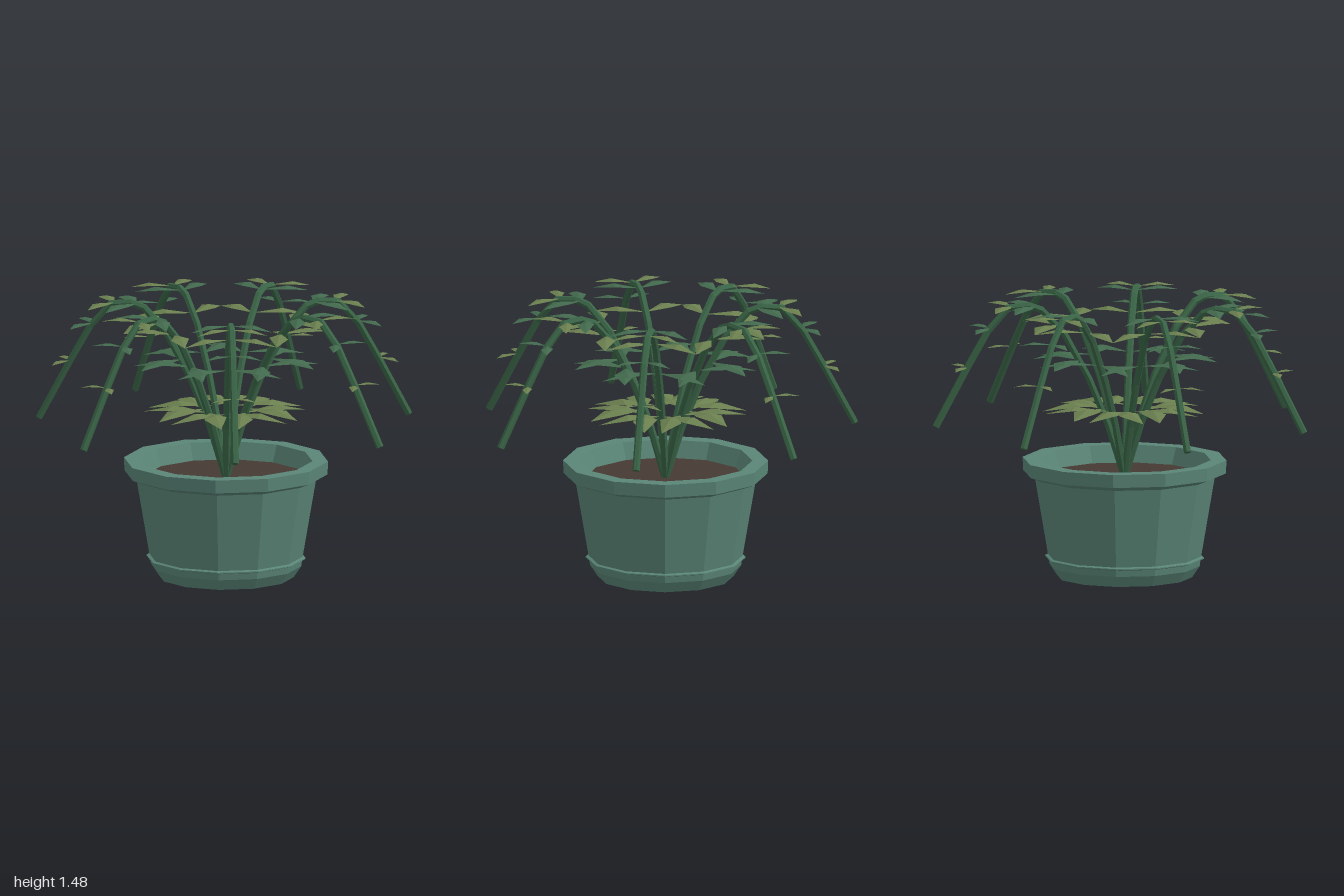
import * as THREE from 'three';

const CENTER_X = -0.05;
const STEMS = 7;
const LEVELS = 7;

const flat = (color, side = THREE.FrontSide) =>
  new THREE.MeshStandardMaterial({ color, flatShading: true, side });

const potMat = flat(0x5a8577);
const soilMat = flat(0x463a33);
const stemMat = flat(0x3a6547);
const leafMats = [flat(0x6a7f4f, THREE.DoubleSide), flat(0x42694d, THREE.DoubleSide)];

function mesh(name, geometry, material, parent) {
  const m = new THREE.Mesh(geometry, material);
  m.name = name;
  parent.add(m);
  return m;
}

// Pointed leaf along +x, folded along a raised midrib and drooping at the tip
function leafGeometry(length) {
  const w = length * 0.18;
  const h = length * 0.07;
  const mid = length * 0.55;
  const position = [
    0, 0, 0,
    mid, h, 0,
    length, -h * 0.6, 0,
    mid * 0.85, h * 0.4, w,
    mid * 1.1, h * 0.4, -w,
  ];
  const g = new THREE.BufferGeometry();
  g.setAttribute('position', new THREE.Float32BufferAttribute(position, 3));
  g.setIndex([0, 3, 1, 3, 2, 1, 0, 1, 4, 1, 2, 4]);
  g.computeVertexNormals();
  return g;
}

// Arching stem in the radial plane (x outward, y up)
const archProfile = [
  [0, 0.53], [0.09, 0.82], [0.19, 1.065], [0.32, 1.305], [0.44, 1.435],
  [0.51, 1.46], [0.62, 1.45], [0.73, 1.325], [0.84, 1.13], [1.005, 0.82],
];
const arch = new THREE.CatmullRomCurve3(archProfile.map(([r, y]) => new THREE.Vector3(r, y, 0)));
// Step along the profile points so that the stem bends exactly there
arch.getUtoTmapping = (u) => u;

// Height of the stem at a given radius
function archHeight(r) {
  const i = archProfile.findIndex((p) => p[0] > r);
  const [r0, y0] = archProfile[i - 1];
  const [r1, y1] = archProfile[i];
  return THREE.MathUtils.mapLinear(r, r0, r1, y0, y1);
}

function createFrond() {
  const frond = new THREE.Group();
  frond.name = 'frond';
  const radius = 0.02;
  mesh('stem', new THREE.TubeGeometry(arch, archProfile.length - 1, radius, 6), stemMat, frond);

  // Flat end of the stem
  const cap = mesh('stemEnd', new THREE.CircleGeometry(radius, 6), stemMat, frond);
  cap.position.copy(arch.getPoint(1));
  cap.lookAt(cap.position.clone().add(arch.getTangent(1)));

  // Mirrored leaf pairs, shorter towards the tip, alternating in colour
  for (let i = 0; i < LEVELS; i++) {
    const r = 0.12 + 0.12 * i;
    const geometry = leafGeometry(0.36 - 0.036 * i);
    for (const side of [1, -1]) {
      const leaf = mesh('leaf', geometry, leafMats[i % 2], frond);
      leaf.position.set(r, archHeight(r) + 0.005, 0);
      leaf.rotation.y = -side * 1.03;
      leaf.scale.z = side;
    }
  }
  return frond;
}

export function createModel() {
  const model = new THREE.Group();
  model.name = 'pottedPlant';
  const plant = new THREE.Group();
  plant.name = 'plant';
  plant.position.x = CENTER_X;
  model.add(plant);

  // Twelve-sided pot with a foot band and a thick rim
  const profile = [
    [0, 0], [0.36, 0], [0.4, 0.06], [0.405, 0.094], [0.423, 0.1], [0.423, 0.106],
    [0.408, 0.112], [0.48, 0.535], [0.54, 0.56], [0.543, 0.63], [0.46, 0.63], [0.42, 0.53],
  ].map(([r, y]) => new THREE.Vector2(r, y));
  mesh('pot', new THREE.LatheGeometry(profile, 12), potMat, plant);

  // Soil
  const soil = mesh('soil', new THREE.CircleGeometry(0.424, 12), soilMat, plant);
  soil.rotation.x = -Math.PI / 2;
  soil.position.y = 0.54;

  // Fronds around the middle
  for (let i = 0; i < STEMS; i++) {
    const frond = createFrond();
    frond.rotation.y = (i / STEMS) * Math.PI * 2;
    plant.add(frond);
  }
  return model;
}
